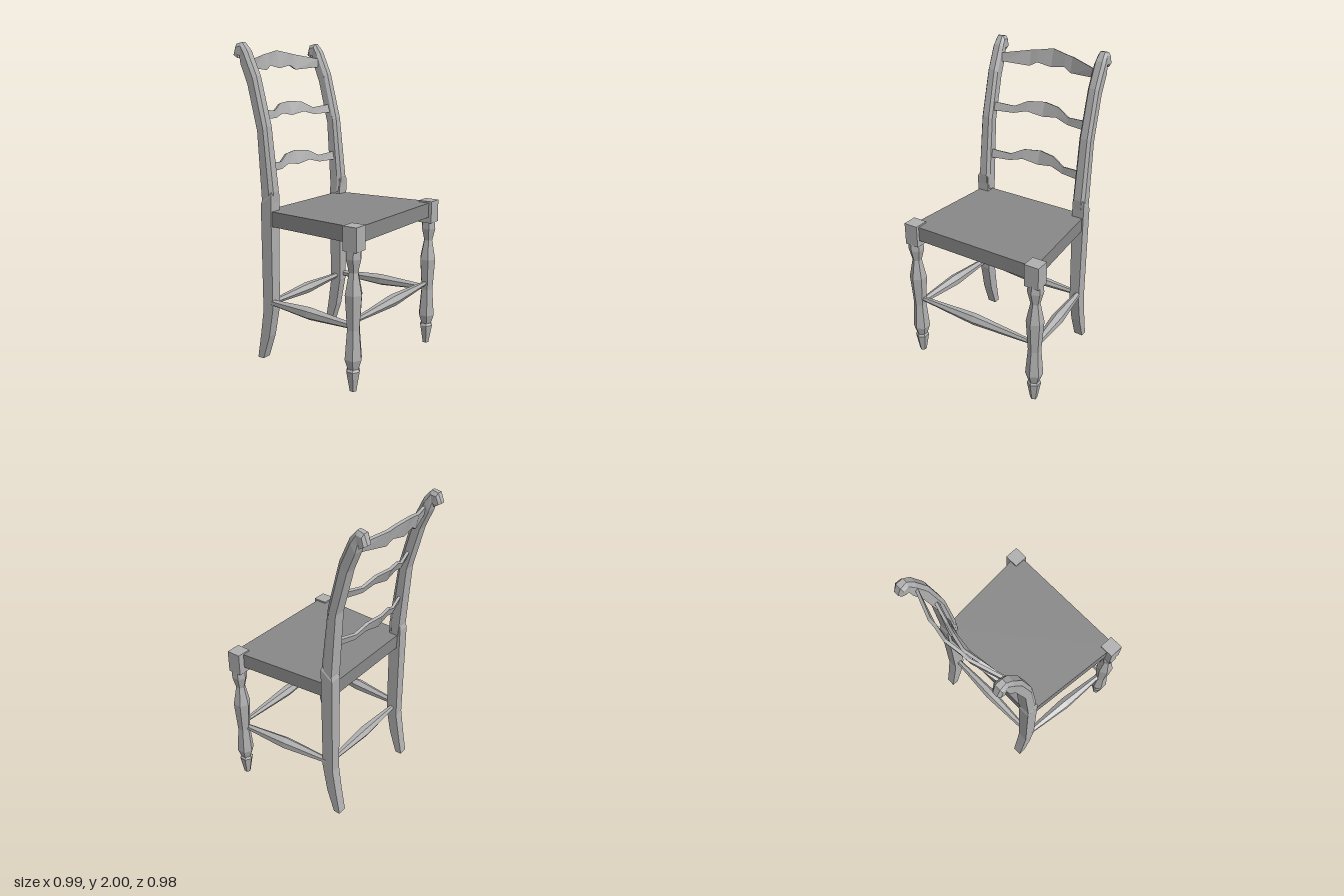
import * as THREE from 'three';

const wood = new THREE.MeshStandardMaterial({ color: 0xb0b0b0, flatShading: true });
wood.name = 'light grey wood';
const cushion = new THREE.MeshStandardMaterial({ color: 0x888888, flatShading: true });
cushion.name = 'dark grey seat';

// Closed solid through a list of rings of [x, y, z] points, wound to face outward
function loft(rings) {
  const n = rings[0].length, tris = [];
  for (let i = 0; i < rings.length - 1; i++) {
    for (let j = 0; j < n; j++) {
      const k = (j + 1) % n;
      const a = rings[i][j], b = rings[i][k], c = rings[i + 1][k], d = rings[i + 1][j];
      tris.push([a, b, c], [a, c, d]);
    }
  }
  const first = rings[0], last = rings[rings.length - 1];
  for (let j = 1; j < n - 1; j++) {
    tris.push([first[0], first[j + 1], first[j]], [last[0], last[j], last[j + 1]]);
  }
  const v = (p) => new THREE.Vector3(...p);
  const o = v(first[0]);
  let volume = 0;
  for (const [a, b, c] of tris) {
    volume += v(a).sub(o).dot(v(b).sub(o).cross(v(c).sub(o)));
  }
  const out = volume < 0 ? tris.map(([a, b, c]) => [a, c, b]) : tris;
  const g = new THREE.BufferGeometry();
  g.setAttribute('position', new THREE.Float32BufferAttribute(out.flat(2), 3));
  g.computeVertexNormals();
  return g;
}

// Spindle stretcher, thickest at the middle
function stretcher(a, b, rEnd, rMid) {
  const from = new THREE.Vector3(...a), to = new THREE.Vector3(...b);
  const len = from.distanceTo(to);
  const profile = [[0, 0], [rEnd, 0], [rMid, len / 2], [rEnd, len], [0, len]];
  const g = new THREE.LatheGeometry(profile.map((p) => new THREE.Vector2(...p)), 6);
  const dir = to.sub(from).normalize();
  g.applyQuaternion(new THREE.Quaternion().setFromUnitVectors(new THREE.Vector3(0, 1, 0), dir));
  g.translate(...a);
  return g;
}

export function createModel() {
  const chair = new THREE.Group();
  chair.name = 'chair';
  const add = (name, geometry, material = wood) => {
    const m = new THREE.Mesh(geometry, material);
    m.name = name;
    chair.add(m);
    return m;
  };

  // Trapezoid seat
  const seatRing = (y) => [[-0.455, y, 0.465], [0.455, y, 0.465], [0.395, y, -0.255], [-0.395, y, -0.255]];
  add('seat', loft([seatRing(0.885), seatRing(0.98)]), cushion);

  // Turned front leg: [radius, height]
  const turned = [[0, 0], [0.022, 0], [0.045, 0.125], [0.036, 0.14], [0.056, 0.2], [0.041, 0.38],
    [0.056, 0.59], [0.03, 0.72], [0.05, 0.8], [0.047, 0.86]].map((p) => new THREE.Vector2(...p));

  // Back leg: [front y, front z, back y, back z, inner x, outer x]
  const backLeg = [
    [0, -0.285, 0, -0.33, 0.342, 0.403],
    [0.16, -0.232, 0.16, -0.302, 0.34, 0.404],
    [0.35, -0.198, 0.33, -0.276, 0.336, 0.405],
    [0.9, -0.196, 0.9, -0.276, 0.33, 0.409],
    [1.08, -0.194, 1.02, -0.276, 0.328, 0.41],
    [1.1, -0.2, 1.06, -0.265, 0.34, 0.4],
  ];
  // Back post sweeping rearward into a small scroll, same columns
  const backPost = [
    [1.0, -0.197, 0.98, -0.262, 0.322, 0.405],
    [1.1, -0.19, 1.06, -0.27, 0.322, 0.406],
    [1.5, -0.235, 1.47, -0.298, 0.326, 0.404],
    [1.8, -0.31, 1.75, -0.37, 0.329, 0.402],
    [1.95, -0.378, 1.87, -0.42, 0.331, 0.404],
    [2.0, -0.42, 1.92, -0.432, 0.338, 0.4],
    [1.99, -0.465, 1.925, -0.445, 0.336, 0.404],
    [1.93, -0.488, 1.905, -0.442, 0.342, 0.404],
  ];

  for (const [side, s] of [['left', 1], ['right', -1]]) {
    const leg = add(side + 'FrontLeg', new THREE.LatheGeometry(turned, 6));
    leg.position.set(s * 0.448, 0, 0.44);
    const block = add(side + 'FrontLegBlock', new THREE.BoxGeometry(0.096, 0.145, 0.094));
    block.position.set(s * 0.443, 0.9175, 0.438);

    add(side + 'BackLeg', loft(backLeg.map(([fy, fz, by, bz, x0, x1]) => [
      [s * x0, fy, fz], [s * x1, fy, fz], [s * x1, by, bz], [s * x0, by, bz],
    ])));

    // Post has bevelled front corners
    add(side + 'BackPost', loft(backPost.map(([fy, fz, by, bz, x0, x1]) => {
      const y = fy + (by - fy) * 0.3, z = fz + (bz - fz) * 0.3, c = 0.016;
      return [[s * (x0 + c), fy, fz], [s * (x1 - c), fy, fz], [s * x1, y, z],
        [s * x1, by, bz], [s * x0, by, bz], [s * x0, y, z]];
    })));

    add(side + 'SideStretcher', stretcher([s * 0.437, 0.39, 0.42], [s * 0.39, 0.39, -0.22], 0.019, 0.04));
  }

  add('frontStretcher', stretcher([-0.43, 0.425, 0.44], [0.43, 0.425, 0.44], 0.014, 0.038));
  add('backStretcher', stretcher([-0.36, 0.38, -0.235], [0.36, 0.38, -0.235], 0.016, 0.037));

  // Ladder-back slats: half outline as [x, lower y, upper y], bowed rearward and tilted
  const wavy = [[0.335, 0, 0.055], [0.2, -0.005, 0.04], [0.11, 0.018, 0.082], [0, 0, 0.09]];
  const crest = [[0.335, 0.015, 0.07], [0.15, 0, 0.1], [0.1, 0.028, 0.108], [0, 0.01, 0.125]];
  const slats = [
    ['lowerSlat', wavy, 1.22, -0.235, -0.3, 0.45],
    ['middleSlat', wavy, 1.54, -0.275, -0.345, 0.5],
    ['crestSlat', crest, 1.83, -0.375, -0.448, 0.3],
  ];
  for (const [name, half, y, zEnd, zMid, tilt] of slats) {
    const outline = [...half.map(([x, a, b]) => [-x, a, b]), ...half.slice(0, 3).reverse()];
    add(name, loft(outline.map(([x, lo, hi]) => {
      const z = zMid + (zEnd - zMid) * Math.pow(Math.abs(x) / 0.335, 1.7);
      const back = z - (hi - lo) * tilt;
      return [[x, y + lo, z], [x, y + hi, back + 0.012], [x, y + hi - 0.006, back - 0.006], [x, y + lo + 0.004, z - 0.018]];
    })));
  }

  return chair;
}
